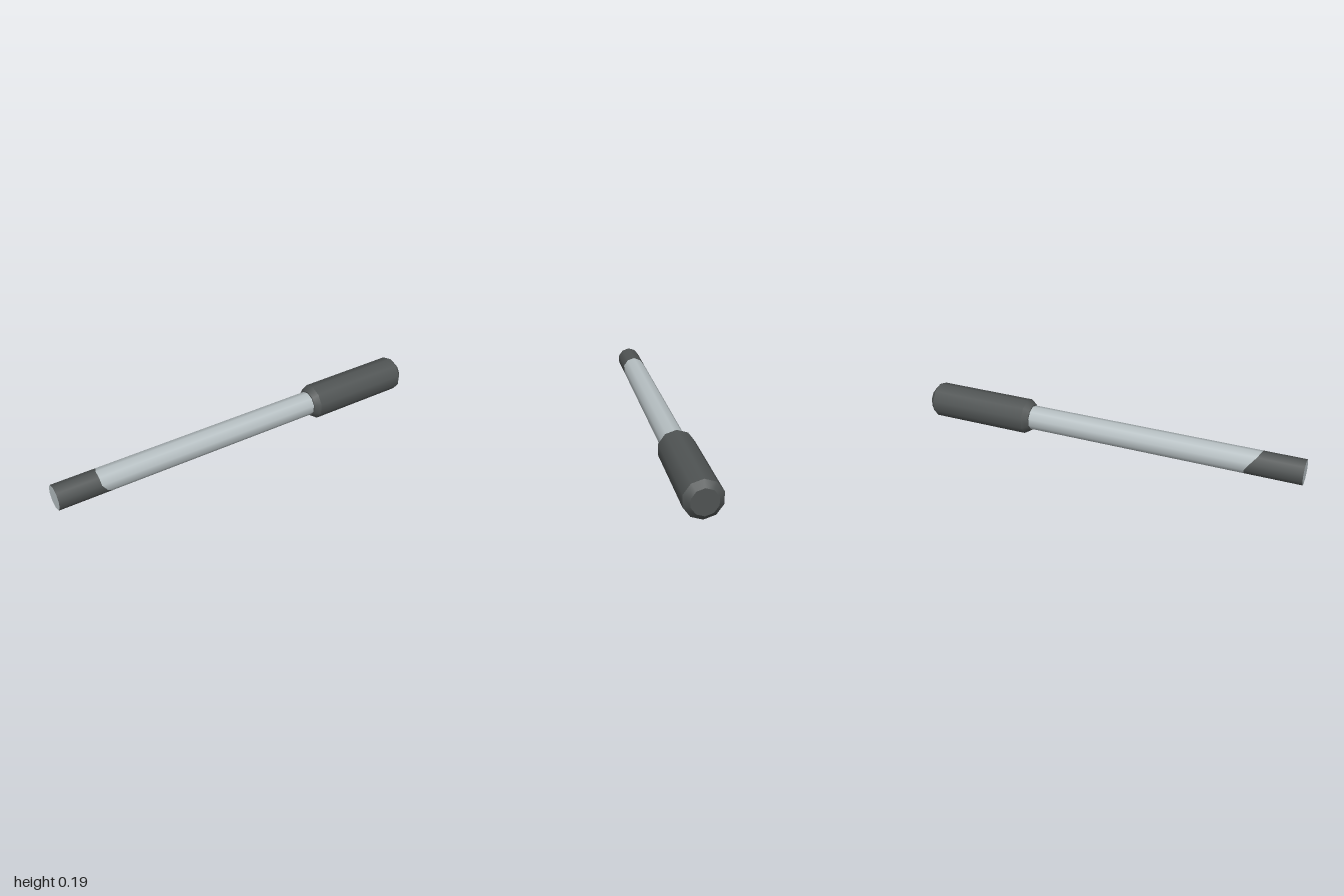
import * as THREE from 'three';

const SIDES = 10;
const SHAFT_R = 0.0625;

export function createModel() {
  const model = new THREE.Group();
  model.name = 'handledRod';

  const silver = new THREE.MeshStandardMaterial({ color: 0xb7c0c3 });
  silver.name = 'silver metal';
  const dark = new THREE.MeshStandardMaterial({ color: 0x505454 });
  dark.name = 'dark grip';

  // The whole rod leans slightly down towards the handle
  const rod = new THREE.Group();
  rod.name = 'rod';
  rod.position.y = 0.102;
  rod.rotation.z = -0.0102;
  model.add(rod);

  // Ten-sided tube along x from x0 (radius r0) to x1 (radius r1), with a vertex on top
  const tubeX = (x0, r0, x1, r1) => new THREE.CylinderGeometry(r1, r0, x1 - x0, SIDES, 1, true, Math.PI / 2)
    .rotateZ(-Math.PI / 2).translate((x0 + x1) / 2, 0, 0);

  // Flat end disc facing +x or -x
  const discX = (x, r, dir) => new THREE.CircleGeometry(r, SIDES, Math.PI / 2)
    .rotateY(dir * Math.PI / 2).translate(x, 0, 0);

  const add = (name, geometry, material, parent = rod) => {
    const mesh = new THREE.Mesh(geometry, material);
    mesh.name = name;
    parent.add(mesh);
  };

  // Slants the ring of vertices at x into the uneven seam between sleeve and shaft
  const seam = -0.755;
  const slantSeam = (geometry) => {
    const p = geometry.attributes.position;
    for (let i = 0; i < p.count; i++) {
      if (Math.abs(p.getX(i) - seam) > 1e-4) continue;
      const d = (1.2 * p.getY(i) + 0.6 * p.getZ(i)) / SHAFT_R;
      p.setX(i, seam - 0.035 * THREE.MathUtils.clamp(d, -1, 1));
    }
    return geometry;
  };

  // Shaft with its dark tip sleeve and bare metal end
  add('tipSleeve', slantSeam(tubeX(-1, SHAFT_R, seam, SHAFT_R)), dark);
  add('shaft', slantSeam(tubeX(seam, SHAFT_R, 0.5, SHAFT_R)), silver);
  add('tipEnd', discX(-1, SHAFT_R, -1), silver);

  // Handle with chamfered ends
  const handle = new THREE.Group();
  handle.name = 'handle';
  rod.add(handle);
  const profile = [[0.415, 0.069], [0.445, 0.0905], [0.972, 0.0905], [0.999, 0.062]];
  ['handleFrontChamfer', 'handleGrip', 'handleEndChamfer'].forEach((name, i) => {
    add(name, tubeX(...profile[i], ...profile[i + 1]), dark, handle);
  });
  add('handleFrontFace', discX(0.415, 0.069, -1), dark, handle);
  add('handleEndCap', discX(0.999, 0.062, 1), dark, handle);

  return model;
}
